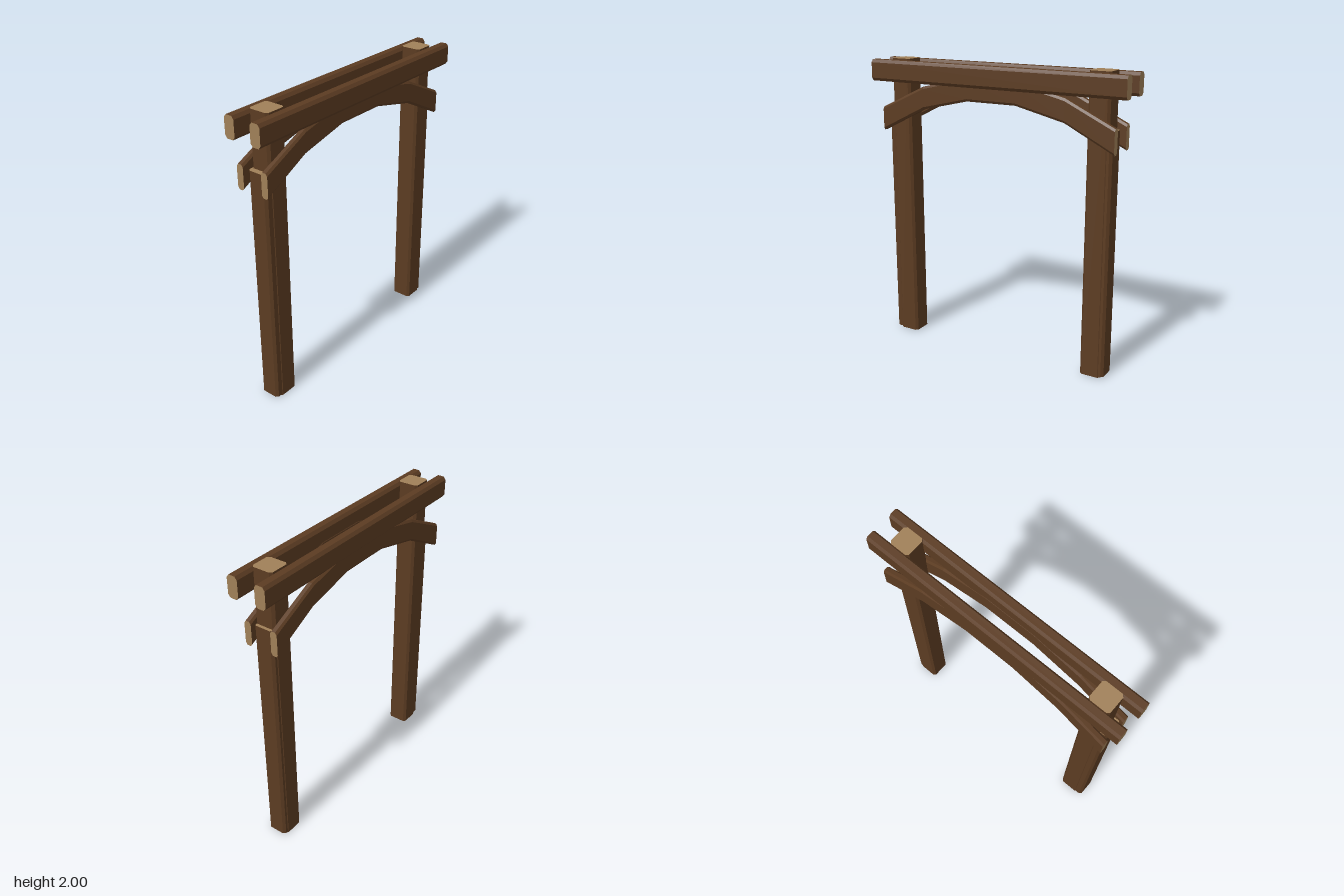
import * as THREE from 'three';

export function createModel() {
  const wood = new THREE.MeshStandardMaterial({ color: 0x5c3c22 });
  wood.name = 'brown timber';
  const cut = new THREE.MeshStandardMaterial({ color: 0xa08058 });
  cut.name = 'cut end grain';
  const group = new THREE.Group();
  group.name = 'timberArch';

  // Rectangle with chamfered corners, counter-clockwise in (u, v)
  const section = (u0, u1, v0, v1, cu, cv) => [
    [u1, v0 + cv], [u1, v1 - cv], [u1 - cu, v1], [u0 + cu, v1],
    [u0, v1 - cv], [u0, v0 + cv], [u0 + cu, v0], [u1 - cu, v0],
  ];

  // Timber through a row of 8-point rings: long faces, start cap, end cap
  function timber(name, rings, startMaterial) {
    const pos = [];
    const tri = (a, b, c) => pos.push(...a, ...b, ...c);
    for (let r = 0; r < rings.length - 1; r++) {
      const a = rings[r], b = rings[r + 1];
      for (let k = 0; k < 8; k++) {
        const n = (k + 1) % 8;
        tri(a[k], a[n], b[n]);
        tri(a[k], b[n], b[k]);
      }
    }
    const sides = pos.length / 3;
    const first = rings[0], last = rings[rings.length - 1];
    for (let k = 1; k < 7; k++) tri(first[0], first[k + 1], first[k]);
    for (let k = 1; k < 7; k++) tri(last[0], last[k], last[k + 1]);
    const geo = new THREE.BufferGeometry();
    geo.setAttribute('position', new THREE.Float32BufferAttribute(pos, 3));
    geo.computeVertexNormals();
    geo.addGroup(0, sides, 0);
    geo.addGroup(sides, 18, 1);
    geo.addGroup(sides + 18, 18, 2);
    const mesh = new THREE.Mesh(geo, [wood, startMaterial, cut]);
    mesh.name = name;
    group.add(mesh);
  }

  // Upright: section in (z, x), running up y
  function post(name, x0, x1, halfZ, y0, y1, c) {
    const s = section(-halfZ, halfZ, x0, x1, c, c);
    timber(name, [y0, y1].map(y => s.map(([z, x]) => [x, y, z])), wood);
  }

  // Horizontal member: stations are [x, bottom, top], running along x
  function rail(name, stations, z0, z1, cy, cz) {
    timber(name, stations.map(([x, b, t]) =>
      section(b, t, z0, z1, cy, cz).map(([y, z]) => [x, y, z])), cut);
  }

  // Posts with shorter outer posts that carry the arches
  post('rightPost', -0.81, -0.665, 0.072, 0, 2, 0.016);
  post('leftPost', 0.66, 0.805, 0.072, 0, 2, 0.016);
  post('rightOuterPost', -0.847, -0.70, 0.068, 0.008, 1.635, 0.016);
  post('leftOuterPost', 0.69, 0.826, 0.068, 0.008, 1.635, 0.016);

  // Pair of straight top beams
  const beam = [[-0.935, 1.845, 1.99], [0.933, 1.845, 1.99]];
  rail('frontBeam', beam, 0.061, 0.135, 0.02, 0.015);
  rail('backBeam', beam, -0.135, -0.061, 0.02, 0.015);

  // Pair of faceted curved braces
  const half = [[0.863, 1.503, 1.667], [0.525, 1.672, 1.826], [0.18, 1.752, 1.905]];
  const arch = [
    ...half.map(([x, b, t]) => [-x - 0.006, b, t]),
    ...half.slice().reverse().map(([x, b, t]) => [x - 0.006, b, t]),
  ];
  rail('frontArch', arch, 0.059, 0.107, 0.016, 0.011);
  rail('backArch', arch, -0.132, -0.084, 0.016, 0.011);

  return group;
}
